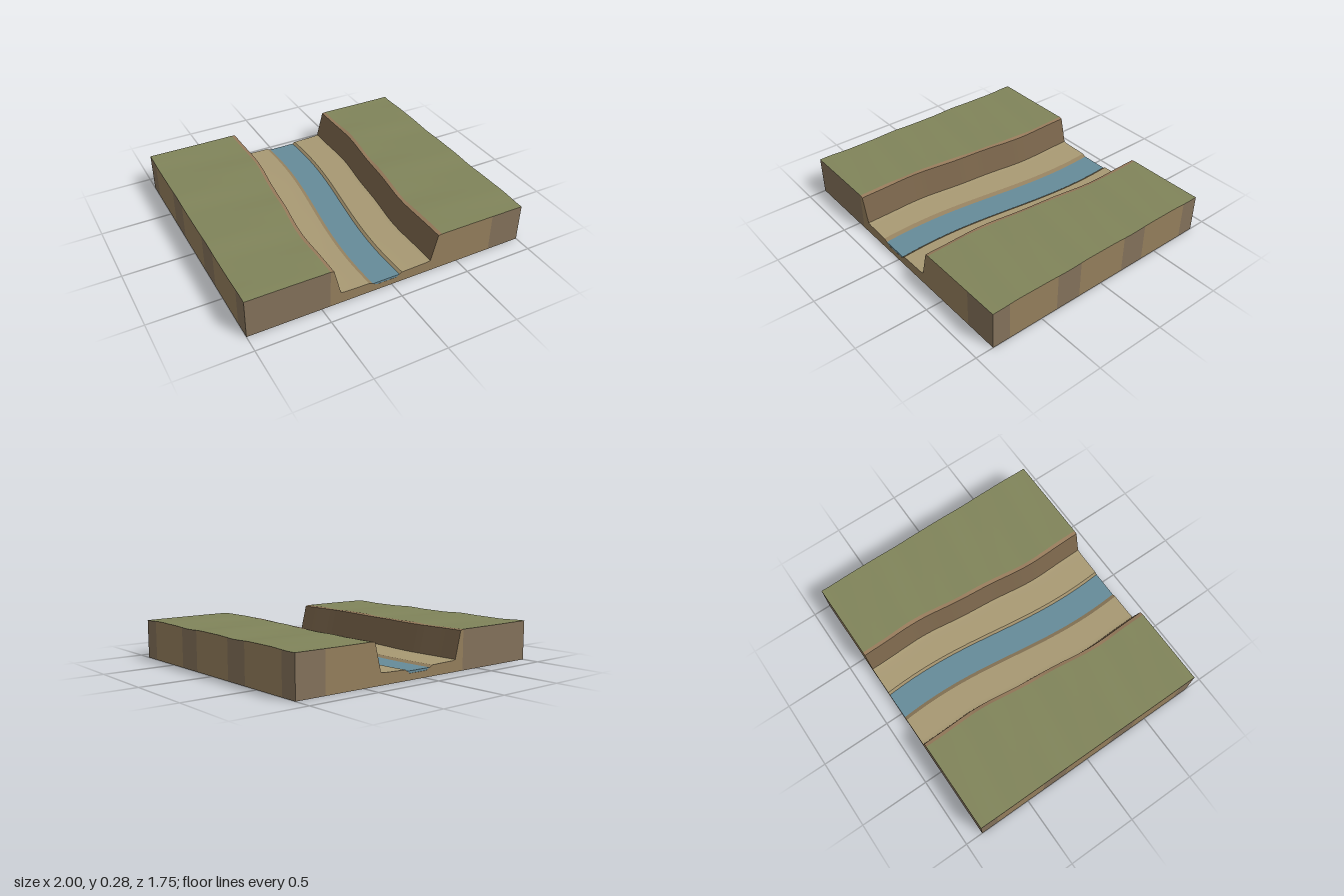
import * as THREE from 'three';

const HALF_Z = 0.875, ROWS = 56, GRASS = 8;

// Sheet from rows of points; it faces (next row) x (next column).
function sheet(name, rows, color, flatShading = false) {
  const cols = rows[0].length, index = [];
  for (let i = 0; i < rows.length - 1; i++) {
    for (let j = 0; j < cols - 1; j++) {
      const a = i * cols + j, b = a + cols;
      index.push(a, b, a + 1, a + 1, b, b + 1);
    }
  }
  const geo = new THREE.BufferGeometry();
  geo.setAttribute('position', new THREE.Float32BufferAttribute(rows.flat(2), 3));
  geo.setIndex(index);
  geo.computeVertexNormals();
  const mat = new THREE.MeshStandardMaterial({ color, flatShading, side: THREE.DoubleSide });
  const mesh = new THREE.Mesh(geo, mat);
  mesh.name = name;
  return mesh;
}

// Meandering centre lines of the valley and of the stream
const valleyX = z => -0.047 * Math.sin(2.5 * z) + 0.004 * Math.sin(11 * z);
const streamX = z => -0.054 * Math.sin(2.5 * z);
const grassY = (x, z) => 0.273 + 0.003 * Math.sin(11 * z + 1.2 * x) + 0.001 * Math.sin(5 * x - 23 * z);

// Cross-section of the land at z, from -x to +x
function section(z) {
  const v = valleyX(z), s = streamX(z), pts = [];
  const lipL = v - 0.4, lipR = v + 0.4;
  for (let i = 0; i <= GRASS; i++) {
    const x = -1 + (lipL + 1) * i / GRASS;
    pts.push([x, grassY(x, z), z]);
  }
  pts.push(
    [v - 0.375, 0.268, z], [v - 0.328, 0.082, z],   // left wall
    [v - 0.30, 0.077, z], [s - 0.122, 0.073, z],    // left floor
    [s - 0.062, 0.044, z], [s + 0.082, 0.044, z],   // stream bed
    [s + 0.118, 0.071, z], [v + 0.30, 0.076, z],    // right floor
    [v + 0.328, 0.082, z], [v + 0.375, 0.268, z],   // right wall
  );
  for (let i = 0; i <= GRASS; i++) {
    const x = lipR + (1 - lipR) * i / GRASS;
    pts.push([x, grassY(x, z), z]);
  }
  return pts;
}

export function createModel() {
  const model = new THREE.Group();
  model.name = 'riverValley';
  const grass = 0x80845a, lip = 0x94795a, wall = 0x7a654b, sand = 0xa89973;
  const earth = 0x947e5c, darkEarth = 0x83715a, water = 0x668b99;

  const zs = Array.from({ length: ROWS + 1 }, (_, i) => -HALF_Z + 2 * HALF_Z * i / ROWS);
  const land = zs.map(section);
  const last = land[0].length - 1;

  // Land surface: bands of columns of the cross-section
  const bands = [
    ['leftPlateau', 0, 8, grass], ['leftLip', 8, 9, lip], ['leftWall', 9, 10, wall, true],
    ['leftFloor', 10, 12, sand], ['leftBank', 12, 13, 0x927f5e], ['streamBed', 13, 14, 0x7d7058],
    ['rightBank', 14, 15, 0x9c8b68], ['rightFloor', 15, 17, sand],
    ['rightWall', 17, 18, wall, true], ['rightLip', 18, 19, lip], ['rightPlateau', 19, last, grass],
  ];
  for (const [name, from, to, color, flat] of bands) {
    model.add(sheet(name, land.map(row => row.slice(from, to + 1)), color, flat));
  }

  // Cut earth sides hanging from an edge down to the ground
  const skirt = (name, edge, color) =>
    model.add(sheet(name, [edge, edge.map(([x, , z]) => [x, 0, z])], color));

  for (const [from, to, color] of [[0, 8, darkEarth], [8, 24, earth], [24, last, darkEarth]]) {
    skirt('frontCut', land[ROWS].slice(from, to + 1), color);
    skirt('backCut', land[0].slice(from, to + 1).reverse(), color);
  }
  const cuts = [0, 4, 16, 22, 34, 40, 52, 56];
  for (let k = 0; k < cuts.length - 1; k++) {
    const part = land.slice(cuts[k], cuts[k + 1] + 1);
    const color = k % 2 ? earth : darkEarth;
    skirt('leftCut', part.map(row => row[0]), color);
    skirt('rightCut', part.map(row => row[last]).reverse(), color);
  }

  // Underside
  const base = new THREE.Mesh(
    new THREE.PlaneGeometry(2, 2 * HALF_Z).rotateX(Math.PI / 2),
    new THREE.MeshStandardMaterial({ color: earth }));
  base.name = 'underside';
  model.add(base);

  // Stream water with closed ends
  const top = zs.map(z => [[streamX(z) - 0.095, 0.06, z], [streamX(z) + 0.1, 0.06, z]]);
  model.add(sheet('water', top, water));
  const end = (name, [a, b], flip) => {
    const low = [[a[0] + 0.033, 0.045, a[2]], [b[0] - 0.018, 0.045, b[2]]];
    const rows = [[a, b], low];
    model.add(sheet(name, flip ? rows.map(r => [...r].reverse()) : rows, water));
  };
  end('waterFrontEnd', top[ROWS], false);
  end('waterBackEnd', top[0], true);

  return model;
}
